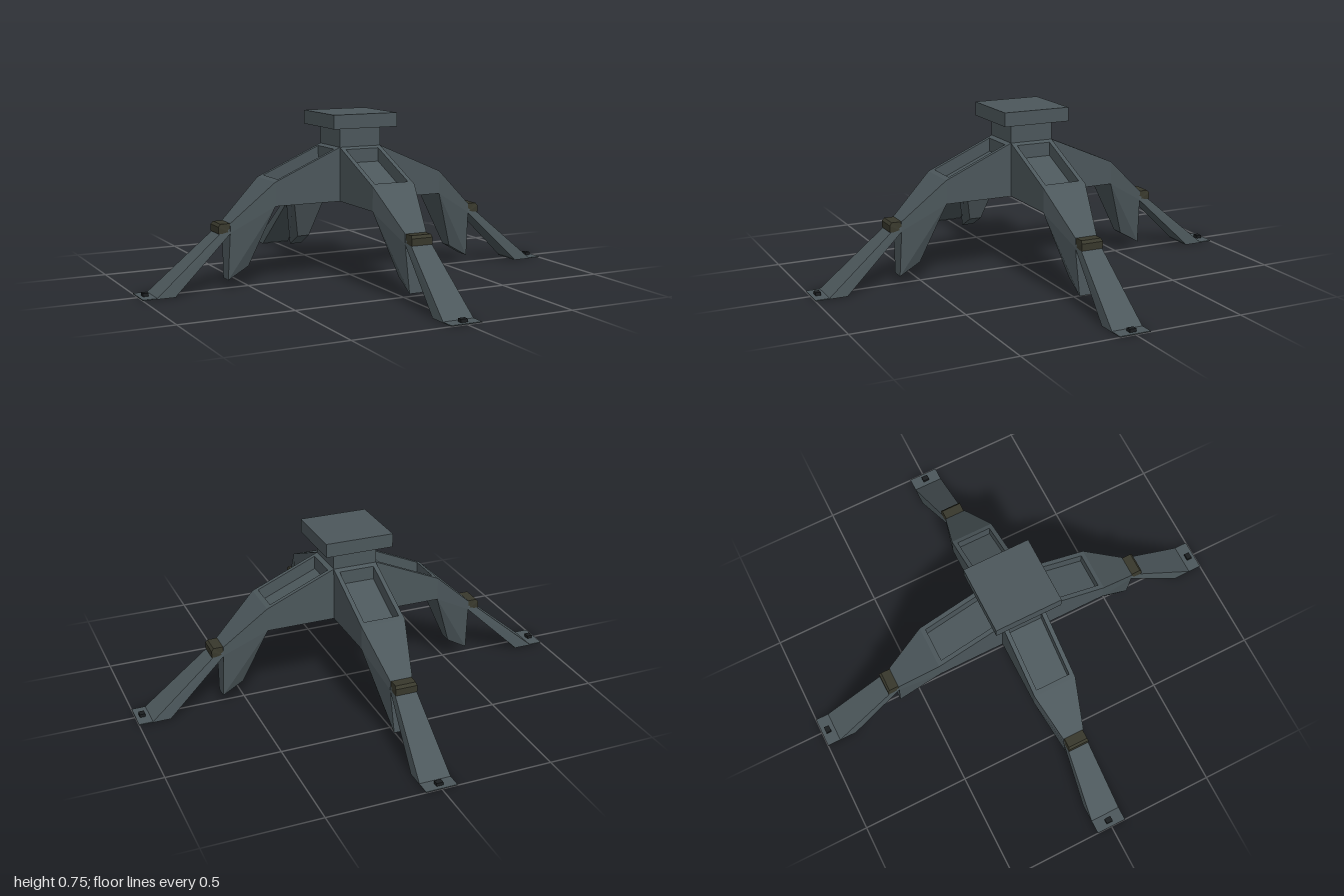
import * as THREE from 'three';

const paint = (color) => new THREE.MeshStandardMaterial({ color, flatShading: true });

// Solid from a counter-clockwise side profile of [x, y, halfWidth] corners
function prism(points) {
  const pos = [];
  const n = points.length;
  const front = (i) => [points[i][0], points[i][1], points[i][2]];
  const back = (i) => [points[i][0], points[i][1], -points[i][2]];
  const tri = (a, b, c) => pos.push(...a, ...b, ...c);
  for (let i = 1; i < n - 1; i++) {
    tri(front(0), front(i), front(i + 1));
    tri(back(0), back(i + 1), back(i));
  }
  for (let i = 0; i < n; i++) {
    const j = (i + 1) % n;
    tri(front(i), back(i), back(j));
    tri(front(i), back(j), front(j));
  }
  const geo = new THREE.BufferGeometry();
  geo.setAttribute('position', new THREE.Float32BufferAttribute(pos, 3));
  geo.computeVertexNormals();
  return geo;
}

// Rectangle corners for shapes and holes
const rect = (x0, x1, h) => [[x0, -h], [x1, -h], [x1, h], [x0, h]].map((p) => new THREE.Vector2(...p));

// Rim around the sunken panel, sheared to follow the sloping arm
function slopedFrame(depth) {
  const shape = new THREE.Shape(rect(0.1, 0.41, 0.1));
  shape.holes.push(new THREE.Path(rect(0.12, 0.39, 0.08).reverse()));
  const geo = new THREE.ExtrudeGeometry(shape, { depth, bevelEnabled: false });
  geo.rotateX(-Math.PI / 2);
  const p = geo.attributes.position;
  for (let i = 0; i < p.count; i++) {
    p.setY(i, p.getY(i) + 0.6 - depth - (p.getX(i) - 0.1) * (0.135 / 0.31));
  }
  geo.computeVertexNormals();
  return geo;
}

export function createModel() {
  const model = new THREE.Group();
  model.name = 'fourLeggedStand';
  const steel = paint(0x4c575b);
  const olive = paint(0x38382c);
  const dark = paint(0x1b1e20);

  const add = (parent, name, geo, mat, x = 0, y = 0, z = 0) => {
    const mesh = new THREE.Mesh(geo, mat);
    mesh.name = name;
    mesh.position.set(x, y, z);
    parent.add(mesh);
  };

  // Central column and mounting plate
  add(model, 'column', new THREE.BoxGeometry(0.2, 0.33, 0.2), steel, 0, 0.525);
  add(model, 'topPlate', new THREE.BoxGeometry(0.31, 0.062, 0.31), steel, 0, 0.717);

  // Parts of one leg, pointing along +x
  const recess = 0.06;
  const parts = [
    ['armRim', slopedFrame(recess), steel],
    ['armBase', prism([
      [0.1, 0.36, 0.1], [0.41, 0.36, 0.1], [0.41, 0.465 - recess, 0.1], [0.1, 0.6 - recess, 0.1],
    ]), steel],
    // tapering knee with its downward fin
    ['kneeFin', prism([
      [0.41, 0.36, 0.1], [0.51, 0.095, 0.03], [0.605, 0.04, 0.03],
      [0.6, 0.25, 0.05], [0.6, 0.292, 0.05], [0.41, 0.465, 0.1],
    ]), steel],
    ['lowerLeg', prism([
      [0.598, 0.25, 0.05], [0.855, 0.004, 0.07], [0.938, 0.004, 0.07], [0.598, 0.292, 0.045],
    ]), steel],
    ['kneeClamp', prism([
      [0.597, 0.25, 0.049], [0.653, 0.25, 0.049], [0.653, 0.28, 0.049],
      [0.643, 0.292, 0.046], [0.597, 0.292, 0.046],
    ]), olive],
    ['footPlate', new THREE.BoxGeometry(0.145, 0.004, 0.14), steel, 0.9275, 0.002],
    ['footBolt', new THREE.BoxGeometry(0.024, 0.016, 0.03), dark, 0.97, 0.01],
  ];

  for (let i = 0; i < 4; i++) {
    const leg = new THREE.Group();
    leg.name = ['leftLeg', 'backLeg', 'rightLeg', 'frontLeg'][i];
    leg.rotation.y = (i * Math.PI) / 2;
    for (const part of parts) add(leg, ...part);
    model.add(leg);
  }
  return model;
}
